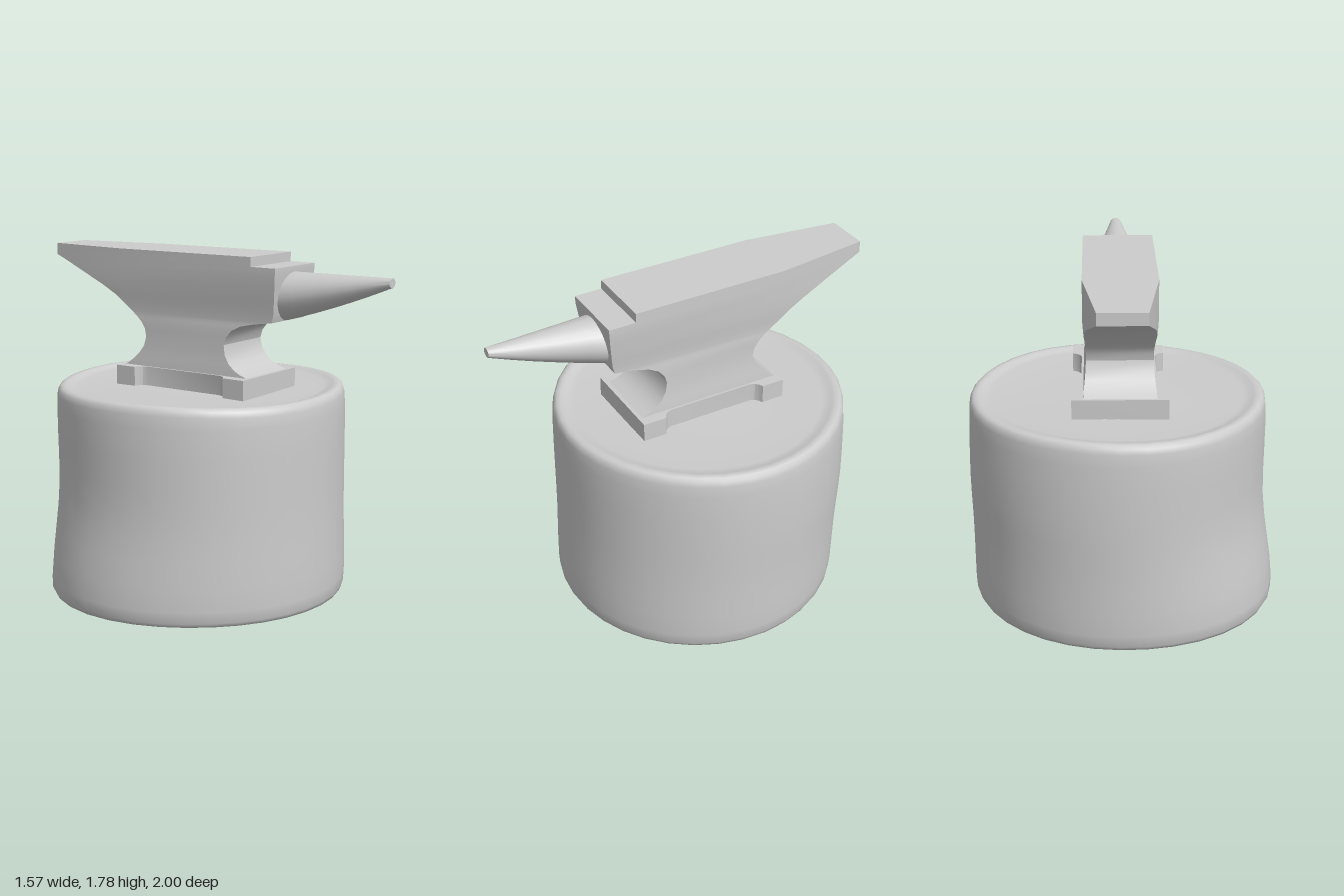
import * as THREE from 'three';
import { toCreasedNormals } from 'three/addons/utils/BufferGeometryUtils.js';

const CX = 0.0175; // the anvil sits slightly off centre

export function createModel() {
  const group = new THREE.Group();
  const grey = new THREE.MeshStandardMaterial({ color: 0xcccccc });
  grey.name = 'light grey';
  const add = (name, geometry, crease) => {
    const mesh = new THREE.Mesh(toCreasedNormals(geometry, crease), grey);
    mesh.name = name;
    group.add(mesh);
    return mesh;
  };

  // Stump: a lathe with a rounded rim, pushed out of round
  const profile = [
    [0, 0.008], [0.4, 0.008], [0.72, 0.014], [0.742, 0.02], [0.752, 0.04], [0.756, 0.1],
    [0.756, 0.22], [0.754, 0.34], [0.752, 0.46], [0.752, 0.58], [0.753, 0.7], [0.754, 0.85],
    [0.754, 1.0], [0.75, 1.06], [0.744, 1.087], [0.73, 1.101], [0.71, 1.104],
    [0.69, 1.1], [0.67, 1.091], [0.64, 1.088], [0.3, 1.088], [0, 1.088],
  ].map(([r, y]) => new THREE.Vector2(r, y));
  const stump = new THREE.LatheGeometry(profile, 36);
  const p = stump.attributes.position;
  for (let i = 0; i < p.count; i++) {
    const x = p.getX(i), y = p.getY(i), z = p.getZ(i);
    const r = Math.hypot(x, z);
    const a = r > 1e-6 ? Math.atan2(z, x) : 0;
    const edge = Math.min(1, r / 0.7);
    // flared root at the lower left, soft belly at the right and back
    const root = Math.max(0, Math.cos(a + Math.PI - 0.42)) ** 3;
    const low = 1 - THREE.MathUtils.smoothstep(y, 0.0, 0.68);
    const belly = Math.max(0, Math.cos(a + 0.8)) * Math.exp(-(((y - 0.68) / 0.28) ** 2));
    const k = 1 + edge * (0.095 * root * low + 0.018 * belly);
    const wave = y > 1 && r > 0.6 ? 0.006 * Math.sin(3 * a - 1) : 0;
    p.setXYZ(i, x * k + 0.025, y + wave, z * k - 0.12 + 0.012 * (1 - y));
  }
  add('stump', stump, 1.0);

  // Foot plate with four corner lugs
  const foot = new THREE.Shape();
  const half = [
    [0.237, 0.315], [0.237, 0.19], [0.215, 0.18], [0.2, 0.165], [0.19, 0.14],
    [0.19, -0.32], [0.2, -0.345], [0.215, -0.36], [0.237, -0.37], [0.237, -0.49],
  ];
  const outline = [...half, ...half.map(([x, z]) => [-x, z]).reverse()];
  foot.setFromPoints(outline.map(([x, z]) => new THREE.Vector2(x, -z)));
  const footGeo = new THREE.ExtrudeGeometry(foot, { depth: 0.115, bevelEnabled: false });
  footGeo.rotateX(-Math.PI / 2);
  add('footPlate', footGeo, 0.4).position.set(CX, 1.072, 0);

  // Body: stacked sections [y, front z, back z, half width, front half width]
  const rows = [
    [1.18, 0.315, -0.485, 0.18, 0.18], [1.2, 0.255, -0.452, 0.178, 0.178],
    [1.22, 0.215, -0.425, 0.176, 0.176], [1.25, 0.18, -0.392, 0.172, 0.172],
    [1.29, 0.155, -0.362, 0.168, 0.168], [1.34, 0.147, -0.348, 0.165, 0.165],
    [1.38, 0.16, -0.356, 0.165, 0.163], [1.415, 0.19, -0.376, 0.167, 0.16],
    [1.44, 0.24, -0.4, 0.169, 0.154], [1.457, 0.32, -0.42, 0.17, 0.148],
    [1.47, 0.42, -0.436, 0.171, 0.145], [1.51, 0.432, -0.49, 0.174, 0.15],
    [1.55, 0.438, -0.55, 0.177, 0.156], [1.59, 0.444, -0.635, 0.18, 0.163],
    [1.65, 0.452, -0.79, 0.18, 0.172], [1.7, 0.458, -0.92, 0.18, 0.18],
    [1.73, 0.46, -1, 0.18, 0.18], [1.742, 0.46, -1, 0.18, 0.18],
    [1.742, 0.318, -1, 0.18, 0.18], [1.79, 0.318, -1, 0.18, 0.18],
  ];
  const pos = [], idx = [];
  for (const [y, zf, zb, w, wf] of rows) {
    const zm = Math.max(zb, -0.5); // the heel narrows behind here
    const wb = w - Math.max(0, -0.5 - zb) * 0.13;
    pos.push(wf, y, zf, w, y, zm, wb, y, zb, -wb, y, zb, -w, y, zm, -wf, y, zf);
  }
  const N = 6, last = (rows.length - 1) * N;
  for (let r = 0; r < rows.length - 1; r++) {
    for (let j = 0; j < N; j++) {
      const a = r * N + j, b = r * N + (j + 1) % N;
      idx.push(a, b, b + N, a, b + N, a + N);
    }
  }
  for (let j = 1; j < N - 1; j++) idx.push(last, last + j, last + j + 1, 0, j + 1, j);
  const body = new THREE.BufferGeometry();
  body.setAttribute('position', new THREE.Float32BufferAttribute(pos, 3));
  body.setIndex(idx);
  add('anvilBody', body, 0.45).position.x = CX;

  // Horn: a cone with a level top line
  const horn = new THREE.CylinderGeometry(0.028, 0.134, 0.58, 20, 6);
  horn.rotateX(Math.PI / 2).translate(0, 0, 0.71);
  const h = horn.attributes.position;
  for (let i = 0; i < h.count; i++) {
    const t = (h.getZ(i) - 0.42) / 0.58;
    const drop = THREE.MathUtils.lerp(0.122, 0.023, t) + 0.02 * t * (1 - t);
    const r = THREE.MathUtils.lerp(0.134, 0.028, t);
    h.setY(i, 1.714 - drop + h.getY(i) / r * drop);
  }
  add('horn', horn, 0.7).position.x = CX;

  return group;
}
